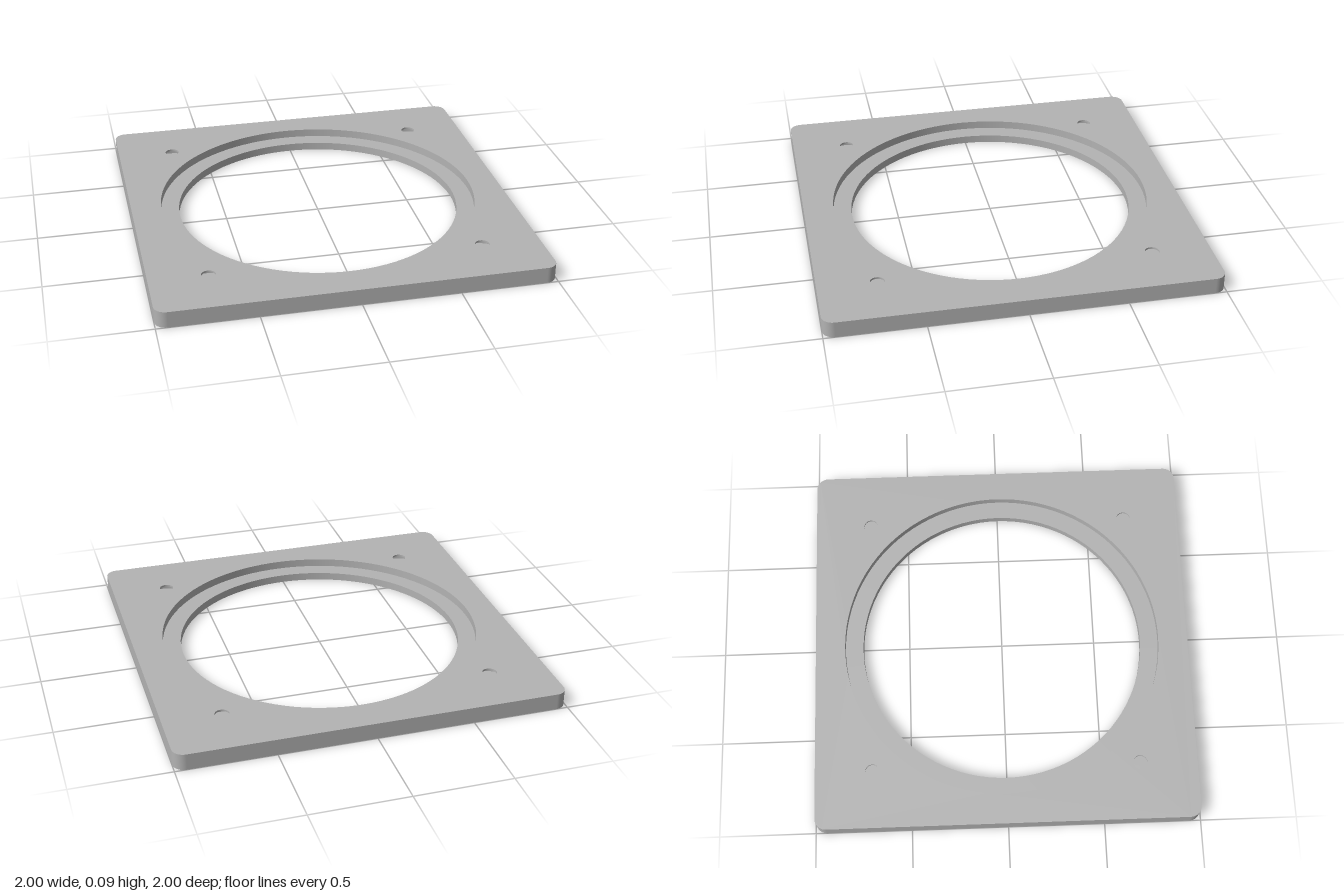
import * as THREE from 'three';

const HEIGHT = 0.085, HALF = 1, CORNER = 0.06;
const RECESS_R = 0.843, BORE_R = 0.748, LEDGE_Y = 0.042;
const HOLE_R = 0.037, HOLE_AT = 0.7;

// Rounded-square outline as [x, z, normalX, normalZ]
function outline() {
  const points = [], steps = 12, c = HALF - CORNER;
  [[1, 1], [-1, 1], [-1, -1], [1, -1]].forEach(([sx, sz], i) => {
    for (let k = 0; k <= steps; k++) {
      const a = (i + k / steps) * Math.PI / 2;
      const nx = Math.cos(a), nz = Math.sin(a);
      points.push([sx * c + nx * CORNER, sz * c + nz * CORNER, nx, nz]);
    }
  });
  return points;
}

// Flat face of the plate, with round holes given as [x, z, radius]
function face(holes, y, up) {
  const shape = new THREE.Shape(outline().map(([x, z]) => new THREE.Vector2(x, z)));
  for (const [x, z, r] of holes) {
    shape.holes.push(new THREE.Path().absarc(x, z, r, 0, Math.PI * 2, true));
  }
  return new THREE.ShapeGeometry(shape, 48)
    .rotateX(up ? -Math.PI / 2 : Math.PI / 2)
    .translate(0, y, 0);
}

// Outer edge with smooth rounded corners
function rim() {
  const points = outline(), n = points.length;
  const position = [], normal = [], index = [];
  points.forEach(([x, z, nx, nz], i) => {
    position.push(x, 0, z, x, HEIGHT, z);
    normal.push(nx, 0, nz, nx, 0, nz);
    const a = 2 * i, b = 2 * ((i + 1) % n);
    index.push(a, a + 1, b, b, a + 1, b + 1);
  });
  const geometry = new THREE.BufferGeometry();
  geometry.setAttribute('position', new THREE.Float32BufferAttribute(position, 3));
  geometry.setAttribute('normal', new THREE.Float32BufferAttribute(normal, 3));
  geometry.setIndex(index);
  return geometry;
}

// Turned surface with a sharp edge at every profile point
function turned(name, profile, segments, material) {
  const group = new THREE.Group();
  group.name = name;
  for (let i = 0; i + 1 < profile.length; i++) {
    const pair = [profile[i], profile[i + 1]].map(([r, y]) => new THREE.Vector2(r, y));
    const mesh = new THREE.Mesh(new THREE.LatheGeometry(pair, segments), material);
    mesh.name = `${name}Surface${i + 1}`;
    group.add(mesh);
  }
  return group;
}

export function createModel() {
  const model = new THREE.Group();
  model.name = 'mountingPlate';
  const grey = new THREE.MeshStandardMaterial({ color: 0xb3b3b3 });
  grey.name = 'plateGrey';

  const corners = [[1, 1], [-1, 1], [-1, -1], [1, -1]]
    .map(([sx, sz]) => [sx * HOLE_AT, sz * HOLE_AT]);

  // Plate skin
  const add = (name, geometry) => {
    const mesh = new THREE.Mesh(geometry, grey);
    mesh.name = name;
    model.add(mesh);
  };
  add('topFace', face([[0, 0, RECESS_R], ...corners.map(([x, z]) => [x, z, HOLE_R])], HEIGHT, true));
  add('bottomFace', face([[0, 0, BORE_R]], 0, false));
  add('outerEdge', rim());

  // Stepped central opening
  model.add(turned('steppedOpening', [
    [RECESS_R, HEIGHT], [RECESS_R, LEDGE_Y], [BORE_R, LEDGE_Y], [BORE_R, 0],
  ], 96, grey));

  // Blind screw holes that widen below the top skin
  corners.forEach(([x, z], i) => {
    const hole = turned(`screwHole${i + 1}`, [
      [HOLE_R, HEIGHT], [HOLE_R, 0.075], [0.122, 0.075], [0.122, 0.02], [0, 0.02],
    ], 48, grey);
    hole.position.set(x, 0, z);
    model.add(hole);
  });

  return model;
}
